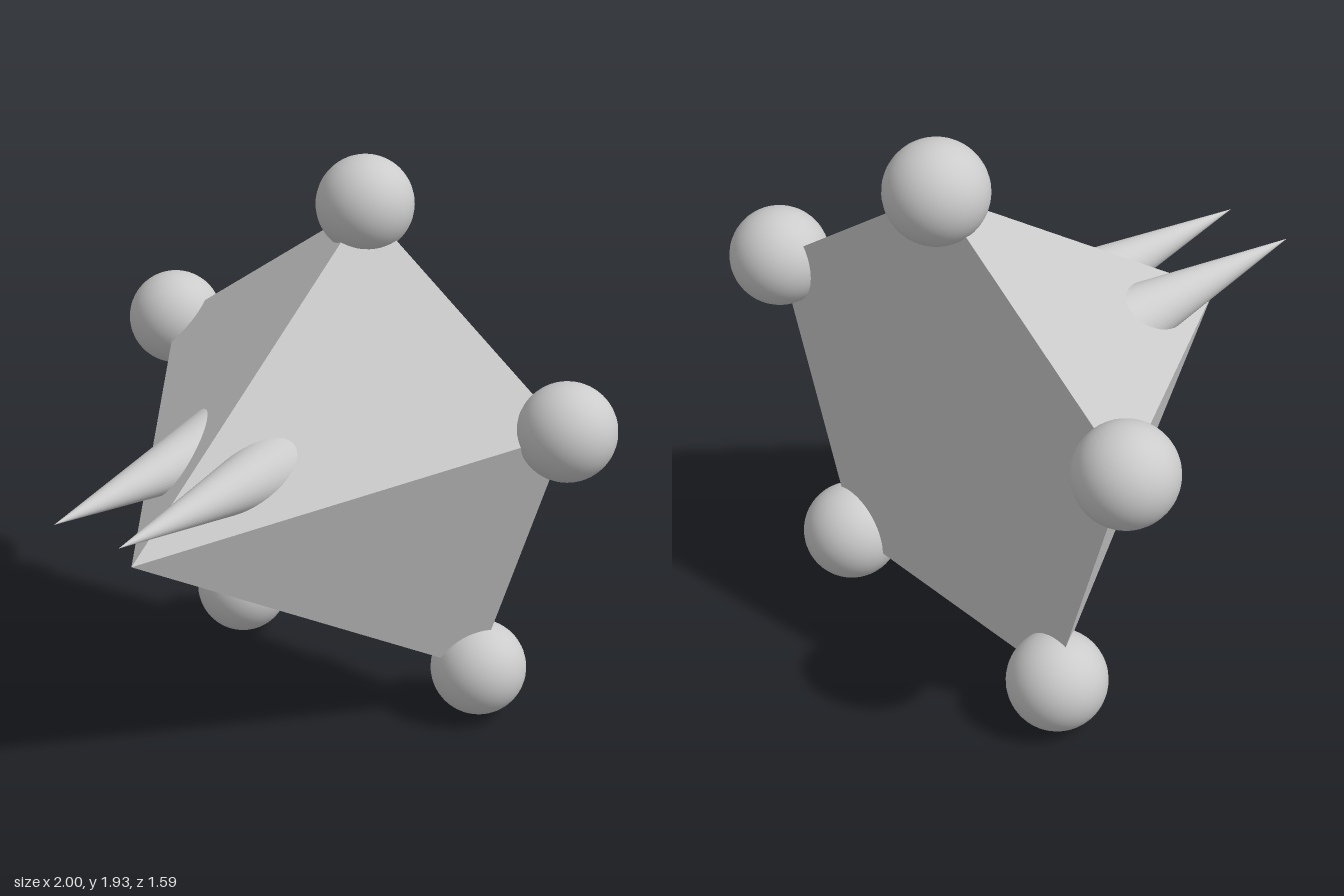
import * as THREE from 'three';

export function createModel() {
  const model = new THREE.Group();
  const flat = new THREE.MeshStandardMaterial({ color: 0xcccccc, flatShading: true });
  const smooth = new THREE.MeshStandardMaterial({ color: 0xcccccc });

  const add = (name, geometry, material, x, y, z) => {
    const mesh = new THREE.Mesh(geometry, material);
    mesh.name = name;
    mesh.position.set(x, y, z);
    model.add(mesh);
  };

  const centerY = 0.886, backZ = -0.63, apexZ = 0.59, radius = 0.877;

  // Five-sided pyramid lying on its side, apex forward, one corner up
  const pyramid = new THREE.ConeGeometry(radius, apexZ - backZ, 5, 1, false, Math.PI);
  pyramid.rotateX(Math.PI / 2);
  add('pyramidBody', pyramid, flat, 0, centerY, (apexZ + backZ) / 2);

  // A ball on every corner of the pentagonal back: [x, y]
  const ball = new THREE.SphereGeometry(0.166, 40, 28);
  const corners = [[0, 1.768], [0.832, 1.162], [0.524, 0.186], [-0.524, 0.171], [-0.834, 1.162]];
  corners.forEach(([x, y], i) => add(`cornerBall${i + 1}`, ball, smooth, x, y, backZ));

  // Two spikes pointing forward from the upper faces
  const tipZ = 0.79, rootZ = -0.06;
  const spike = new THREE.ConeGeometry(0.13, tipZ - rootZ, 40);
  spike.rotateX(Math.PI / 2);
  add('leftSpike', spike, smooth, 0.125, 1.067, (tipZ + rootZ) / 2);
  add('rightSpike', spike, smooth, -0.142, 1.067, (tipZ + rootZ) / 2);

  return model;
}
